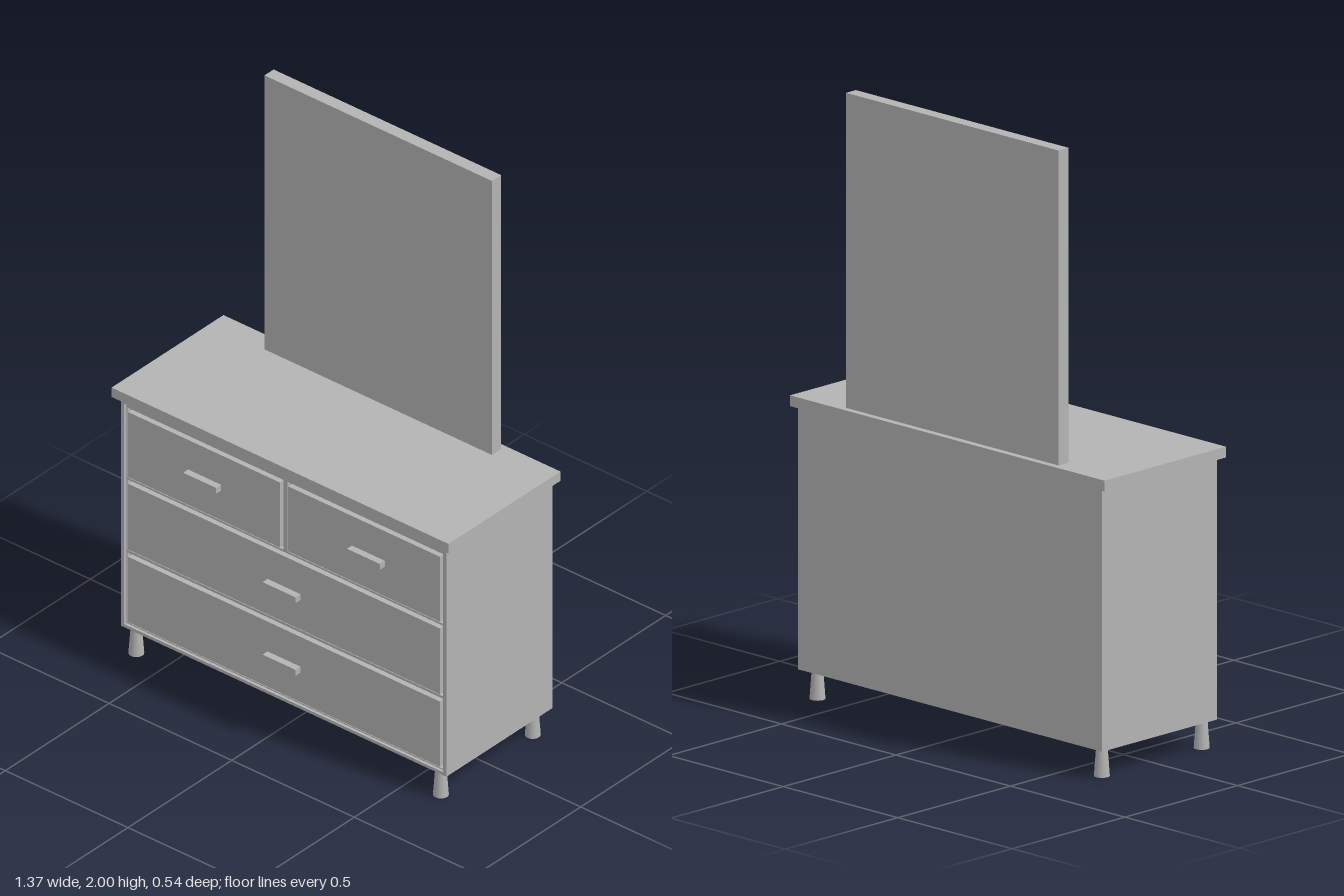
import * as THREE from 'three';

export function createModel() {
  const model = new THREE.Group();
  model.name = 'dresser';
  const grey = new THREE.MeshStandardMaterial({ color: 0xb3b3b3 });
  grey.name = 'plain grey';

  const add = (name, geometry, x = 0, y = 0, z = 0) => {
    const mesh = new THREE.Mesh(geometry, grey);
    mesh.name = name;
    mesh.position.set(x, y, z);
    model.add(mesh);
  };
  // box given by its limits on each axis
  const box = (name, x0, x1, y0, y1, z0, z1) =>
    add(name, new THREE.BoxGeometry(x1 - x0, y1 - y0, z1 - z0),
      (x0 + x1) / 2, (y0 + y1) / 2, (z0 + z1) / 2);
  const rect = (Type, x0, x1, y0, y1) => new Type().setFromPoints(
    [[x0, y0], [x1, y0], [x1, y1], [x0, y1]].map(p => new THREE.Vector2(...p)));
  // flat panel with rectangular openings
  const frame = (name, outer, holes, z0, z1) => {
    const shape = rect(THREE.Shape, ...outer);
    holes.forEach(h => shape.holes.push(rect(THREE.Path, ...h)));
    add(name, new THREE.ExtrudeGeometry(shape, { depth: z1 - z0, bevelEnabled: false }), 0, 0, z0);
  };

  // carcass, worktop and mirror panel
  box('carcass', -0.664, 0.664, 0.095, 0.945, -0.26, 0.225);
  box('worktop', -0.687, 0.687, 0.945, 0.98, -0.272, 0.267);
  box('mirror', -0.464, 0.464, 0.98, 2, -0.25, -0.206);

  // drawer openings: x0, x1, y0, y1
  const openings = [
    [-0.645, -0.008, 0.65, 0.91],
    [0.008, 0.645, 0.65, 0.91],
    [-0.645, 0.645, 0.38, 0.643],
    [-0.645, 0.645, 0.11, 0.371],
  ];
  frame('outerFrame', [-0.664, 0.664, 0.095, 0.945], [[-0.65, 0.65, 0.106, 0.927]], 0.225, 0.25);
  frame('drawerRails', [-0.65, 0.65, 0.106, 0.927], openings, 0.225, 0.24);

  // drawer fronts, with a narrow groove round each
  const gap = 0.009;
  openings.forEach(([x0, x1, y0, y1]) =>
    box('drawerFront', x0 + gap, x1 - gap, y0 + gap, y1 - gap, 0.225, 0.248));

  // bar handles
  [[-0.324, 0.78], [0.344, 0.78], [0, 0.51], [0, 0.24]].forEach(([x, y]) =>
    box('handle', x - 0.067, x + 0.067, y - 0.011, y + 0.011, 0.248, 0.272));

  // tapered feet
  const foot = new THREE.CylinderGeometry(0.018, 0.025, 0.095, 16);
  for (const x of [-0.621, 0.621])
    for (const z of [0.226, -0.217]) add('foot', foot, x, 0.0475, z);

  return model;
}
